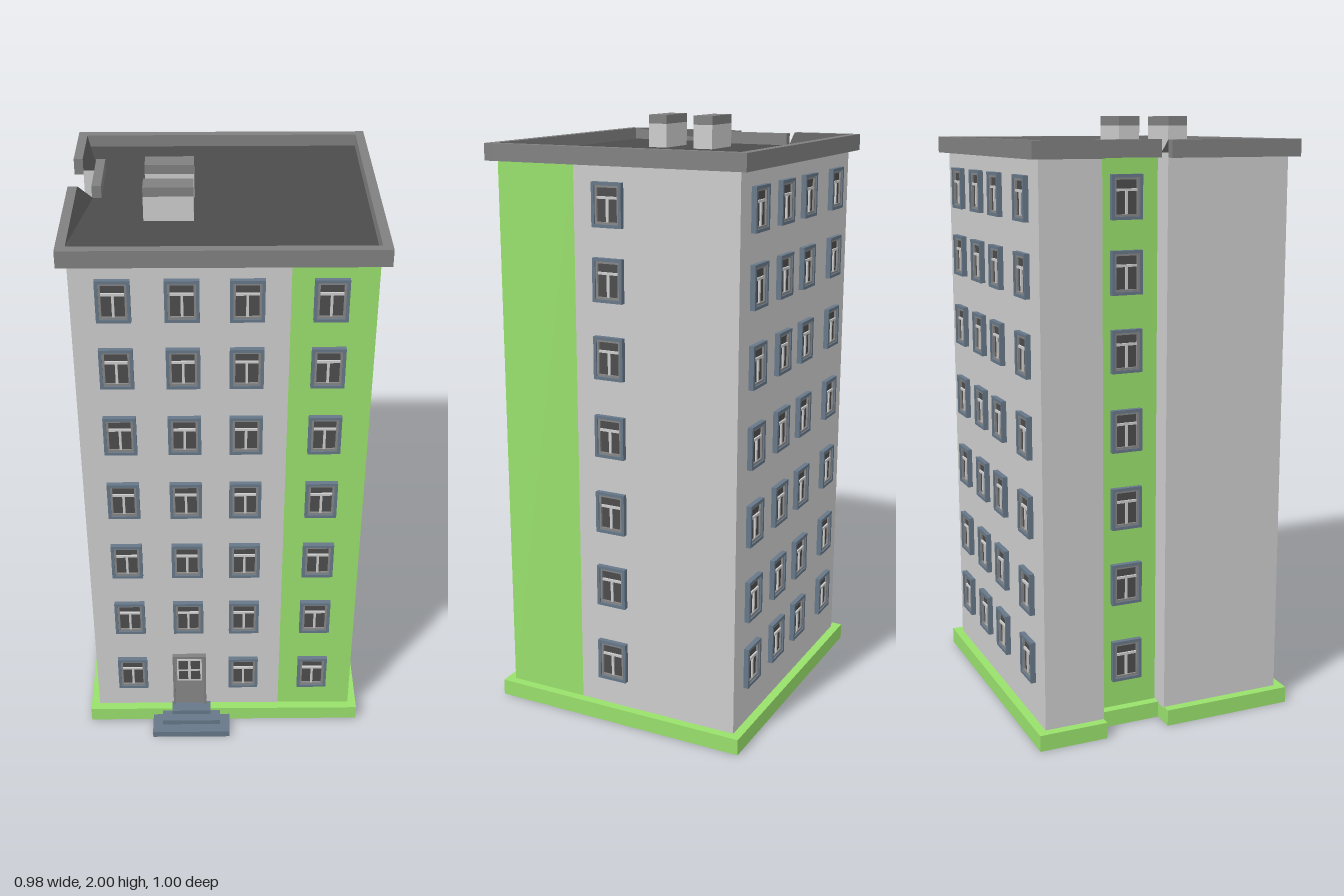
import * as THREE from 'three';

const mat = (color, side = THREE.FrontSide) => new THREE.MeshStandardMaterial({ color, side });
const D = THREE.DoubleSide;
const wallMat = mat(0xcccccc, D), greenWall = mat(0x98e06c, D), green = mat(0x98e06c);
const trim = mat(0x808080), roofMat = mat(0x4c4c4c, D), slate = mat(0x667788);
const glass = mat(0x4c4c4c), light = mat(0xcccccc), doorMat = mat(0x868686);

// Box given by its min and max corners
function box(parent, name, material, [x0, y0, z0], [x1, y1, z1]) {
  const m = new THREE.Mesh(new THREE.BoxGeometry(x1 - x0, y1 - y0, z1 - z0), material);
  m.position.set((x0 + x1) / 2, (y0 + y1) / 2, (z0 + z1) / 2);
  m.name = name;
  parent.add(m);
  return m;
}

// Wall line, its overhang and the recess in the right-hand side
const X = 0.46, ZF = 0.38, ZB = -0.47, O = 0.03;
const NX = -0.385, N0 = -0.265, N1 = -0.045;
const ROOF = 1.89, TOP = 1.93;

// Band of strips running round the outside of the walls
function band(name, material, y0, y1) {
  const g = new THREE.Group();
  g.name = name;
  const strip = (x0, x1, z0, z1) => box(g, name + 'Strip', material, [x0, y0, z0], [x1, y1, z1]);
  strip(-X - O, X + O, ZF, ZF + O);
  strip(-X - O, X + O, ZB - O, ZB);
  strip(X, X + O, ZB, ZF);
  strip(-X - O, -X, ZB, N0);
  strip(-X - O, -X, N1, ZF);
  strip(NX - O, NX, N0, N1);
  return g;
}

// One flat wall from a to b in plan, outward side to the right of travel
function wall(parent, name, material, [ax, az], [bx, bz], y0 = 0.05, y1 = ROOF) {
  const m = new THREE.Mesh(new THREE.PlaneGeometry(Math.hypot(bx - ax, bz - az), y1 - y0), material);
  m.position.set((ax + bx) / 2, (y0 + y1) / 2, (az + bz) / 2);
  m.rotation.y = Math.atan2(az - bz, bx - ax);
  m.name = name;
  parent.add(m);
}

// Rectangular frame with one opening, back at z = 0
function frameGeometry(w, h, border, depth) {
  const s = new THREE.Shape([[-w, -h], [w, -h], [w, h], [-w, h]].map(([x, y]) => new THREE.Vector2(x / 2, y / 2)));
  const a = w / 2 - border, b = h / 2 - border;
  s.holes.push(new THREE.Path([[-a, -b], [-a, b], [a, b], [a, -b]].map(([x, y]) => new THREE.Vector2(x, y))));
  return new THREE.ExtrudeGeometry(s, { depth, bevelEnabled: false });
}

// Window: slate surround, grey sash, dark pane, T-shaped glazing bars
function makeWindow() {
  const g = new THREE.Group();
  g.name = 'window';
  const add = (name, geo, m) => {
    const mesh = new THREE.Mesh(geo, m);
    mesh.name = name;
    g.add(mesh);
  };
  add('surround', frameGeometry(0.105, 0.14, 0.01, 0.017), slate);
  add('sash', frameGeometry(0.085, 0.12, 0.007, 0.012), doorMat);
  box(g, 'pane', glass, [-0.038, -0.055, 0], [0.038, 0.055, 0.005]);
  box(g, 'transom', light, [-0.036, 0.018, 0.004], [0.036, 0.026, 0.011]);
  box(g, 'mullion', light, [-0.004, -0.053, 0.004], [0.004, 0.018, 0.011]);
  return g;
}

export function createModel() {
  const model = new THREE.Group();
  model.name = 'apartmentBlock';

  // Walls, open underneath
  const walls = new THREE.Group();
  walls.name = 'walls';
  wall(walls, 'frontWall', wallMat, [-X, ZF], [0.2, ZF]);
  wall(walls, 'frontGreenPanel', greenWall, [0.2, ZF], [X, ZF]);
  wall(walls, 'sideGreenPanel', greenWall, [X, ZF], [X, 0.1]);
  wall(walls, 'leftWall', wallMat, [X, 0.1], [X, ZB]);
  wall(walls, 'backWall', wallMat, [X, ZB], [-X, ZB]);
  wall(walls, 'rightRearWall', wallMat, [-X, ZB], [-X, N0]);
  wall(walls, 'recessSide', wallMat, [-X, N0], [NX, N0]);
  wall(walls, 'recessGreenWall', greenWall, [NX, N0], [NX, N1]);
  wall(walls, 'recessSide', wallMat, [NX, N1], [-X, N1]);
  wall(walls, 'rightFrontWall', wallMat, [-X, N1], [-X, ZF]);
  model.add(walls);

  // Plinth, with thin returns into the recess, and parapet
  const plinth = band('plinth', green, 0, 0.055);
  wall(plinth, 'plinthReturn', greenWall, [-X, N0], [NX, N0], 0, 0.05);
  wall(plinth, 'plinthReturn', greenWall, [NX, N1], [-X, N1], 0, 0.05);
  const parapet = band('parapet', trim, 1.875, TOP);
  model.add(plinth, parapet);

  // Roof deck
  const outline = [[-X, ZF], [X, ZF], [X, ZB], [-X, ZB], [-X, N0], [NX, N0], [NX, N1], [-X, N1]];
  const deck = new THREE.Mesh(
    new THREE.ShapeGeometry(new THREE.Shape(outline.map(([x, z]) => new THREE.Vector2(x, -z)))), roofMat);
  deck.rotation.x = -Math.PI / 2;
  deck.position.y = ROOF;
  deck.name = 'roofDeck';
  model.add(deck);

  // Sloping fillets from the parapet down to the deck beside the recess
  for (const [zFar, zNear] of [[ZB, N0], [ZF, N1]]) {
    const far = [-X, TOP, zFar], near = [-X, TOP, zNear], low = [-0.412, ROOF, zNear];
    const geo = new THREE.BufferGeometry();
    geo.setAttribute('position', new THREE.Float32BufferAttribute(
      [...far, ...near, ...low, ...near, -X, ROOF, zNear, ...low], 3));
    geo.computeVertexNormals();
    const fillet = new THREE.Mesh(geo, roofMat);
    fillet.name = 'roofFillet';
    model.add(fillet);
  }

  // Rooftop vents with darker caps
  for (const [z0, z1] of [[-0.115, -0.045], [0.058, 0.126]]) {
    box(model, 'vent', light, [-0.245, ROOF - 0.01, z0], [-0.09, 1.97, z1]);
    box(model, 'ventCap', trim, [-0.245, 1.97, z0], [-0.09, 2, z1]);
  }

  // Windows on every floor: front, back, left side and recess
  const pattern = makeWindow();
  const floors = [0.22, 0.49, 0.75, 1.01, 1.27, 1.52, 1.755];
  const place = (x, y, z, turn) => {
    const w = pattern.clone();
    w.position.set(x, y, z);
    w.rotation.y = turn;
    model.add(w);
  };
  floors.forEach((y, i) => {
    for (const x of [-0.33, -0.125, 0.07, 0.32]) {
      if (i > 0 || x !== -0.125) place(x, y, ZF, 0);
      place(-x, i ? y : 0.255, ZB, Math.PI);
    }
    place(X, y, -0.025, Math.PI / 2);
    place(NX, y, -0.155, -Math.PI / 2);
  });

  // Entrance door with a four-pane light
  const door = new THREE.Group();
  door.name = 'door';
  box(door, 'doorLeaf', doorMat, [-0.177, 0.05, ZF], [-0.073, 0.295, ZF + 0.008]);
  for (const x of [-0.185, -0.073]) box(door, 'doorJamb', trim, [x, 0.05, ZF], [x + 0.008, 0.305, ZF + 0.016]);
  box(door, 'doorHead', trim, [-0.177, 0.295, ZF], [-0.073, 0.305, ZF + 0.016]);
  box(door, 'doorLight', light, [-0.17, 0.18, ZF], [-0.08, 0.288, ZF + 0.011]);
  for (const x of [-0.147, -0.103])
    for (const y of [0.21, 0.26])
      box(door, 'doorPane', glass, [x - 0.017, y - 0.02, ZF], [x + 0.017, y + 0.02, ZF + 0.013]);
  model.add(door);

  // Entrance steps
  [[0.14, 0, 0.025, 0.497], [0.105, 0.025, 0.045, 0.46], [0.07, 0.045, 0.062, 0.428]].forEach(([half, y0, y1, z]) =>
    box(model, 'step', slate, [-0.12 - half, y0, ZF], [-0.12 + half, y1, z]));

  return model;
}
